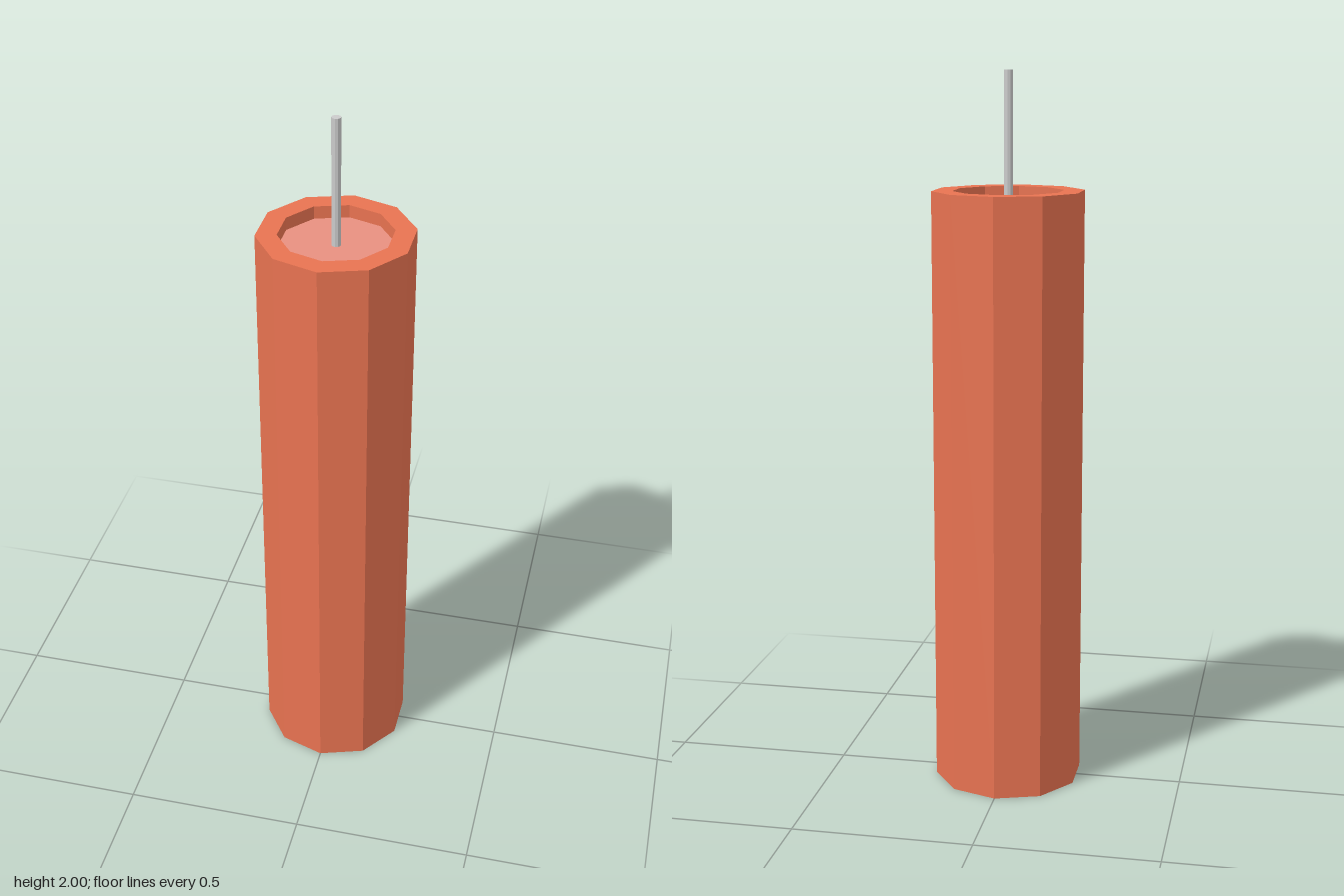
import * as THREE from 'three';

const SIDES = 10;
const HEIGHT = 1.68, OUTER = 0.21, INNER = 0.153, RECESS = 0.036;

function part(name, geometry, color) {
  const material = new THREE.MeshStandardMaterial({ color, flatShading: true });
  const mesh = new THREE.Mesh(geometry, material);
  mesh.name = name;
  return mesh;
}

// Cylinder placed by its bottom and top heights
function post(radius, bottom, top) {
  return new THREE.CylinderGeometry(radius, radius, top - bottom, SIDES)
    .translate(0, (bottom + top) / 2, 0);
}

export function createModel() {
  const model = new THREE.Group();
  model.name = 'firecrackerStick';

  // Thick-walled tube, open at both ends
  const wall = [[OUTER, 0], [OUTER, HEIGHT], [INNER, HEIGHT], [INNER, 0], [OUTER, 0]]
    .map(([r, y]) => new THREE.Vector2(r, y));
  model.add(part('casing', new THREE.LatheGeometry(wall, SIDES), 0xe87351));

  // Filling, set back from both rims
  model.add(part('filling', post(INNER, RECESS, HEIGHT - RECESS), 0xe89080));

  // Fuse rising from the filling
  model.add(part('fuse', post(0.0125, HEIGHT - RECESS, 2), 0xcccccc));

  return model;
}
